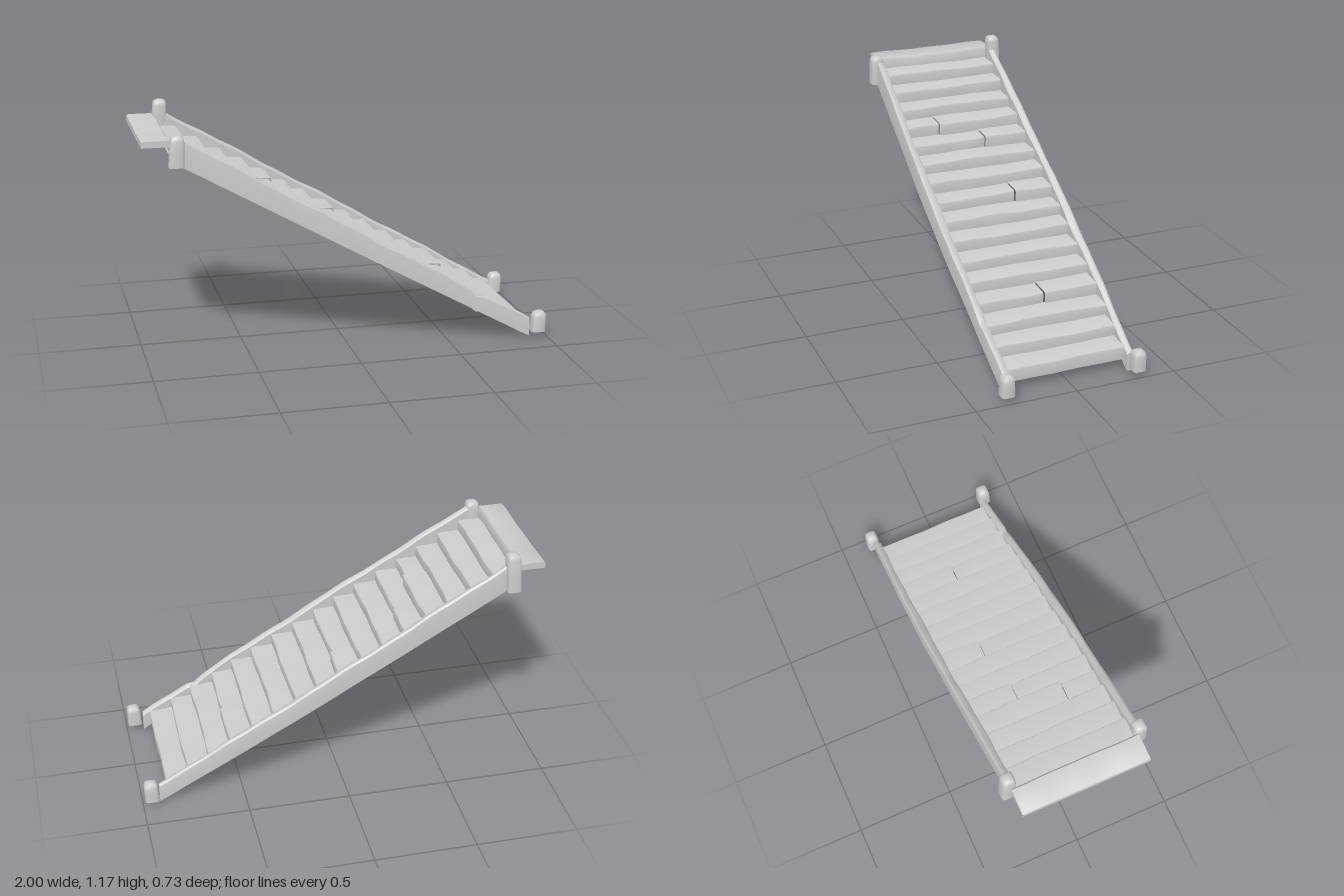
import * as THREE from 'three';
import { toCreasedNormals } from 'three/addons/utils/BufferGeometryUtils.js';

const material = new THREE.MeshStandardMaterial({ color: 0xcccccc, side: THREE.DoubleSide });

// Skins a row of equal-length cross-sections, each a list of [x, y, z]
function loft(name, sections, crease = 0.7) {
  const n = sections[0].length, index = [];
  for (let i = 0; i < sections.length - 1; i++) {
    for (let j = 0; j < n - 1; j++) {
      const a = i * n + j, b = a + 1, d = a + n, c = d + 1;
      index.push(a, b, d, b, c, d);
    }
  }
  const geometry = new THREE.BufferGeometry();
  geometry.setAttribute('position', new THREE.Float32BufferAttribute(sections.flat(2), 3));
  geometry.setIndex(index);
  const mesh = new THREE.Mesh(toCreasedNormals(geometry, crease), material);
  mesh.name = name;
  return mesh;
}

// Smooth, repeatable unevenness of hand-cut wood
const wobble = (t, seed) => 0.6 * Math.sin(t * 11 + seed * 2.3) + 0.4 * Math.sin(t * 27 + seed * 4.1);

const STEPS = 16, RUN = 0.109, RISE = 0.0617;
const noseX = i => 0.88 - RUN * i;
const noseY = i => 0.108 + RISE * i;

// One worn plank: riser, rounded nose and tread, across z0..z1
function plank(i, z0, z1, shift) {
  const sections = [];
  for (let k = 0; k <= 10; k++) {
    const z = z0 + (z1 - z0) * k / 10;
    const x = noseX(i) + shift + 0.004 * wobble(z, i);
    const y = noseY(i) + shift * 0.4 + 0.003 * wobble(z, i + 7);
    const bottom = i === 0 ? 0.04 : noseY(i - 1) - 0.002;
    sections.push([
      [x - 0.005, bottom, z], [x, y - 0.012, z], [x - 0.003, y - 0.003, z],
      [x - 0.012, y, z], [noseX(i + 1) - 0.012, y + 0.005, z],
    ]);
  }
  return loft('step', sections);
}

// Side board, open underneath, with a rounded worn top; side is +1 or -1 in z
function stringer(side) {
  const sections = [];
  const N = 44;
  for (let k = 0; k <= N; k++) {
    const t = k / N, x = 0.915 - 1.745 * t;
    const bow = 0.016 * Math.sin(Math.PI * t);
    const outer = 0.333 + bow + 0.002 * wobble(t, side);
    const inner = 0.298 + bow * 0.6 + 0.004 * wobble(t * 1.5, side + 3);
    const notch = side > 0 ? 0.02 * Math.exp(-(((x - 0.63) / 0.03) ** 2)) : 0;
    const top = 0.628 - 0.585 * x + 0.005 * wobble(t * 2, side + 5) - notch;
    const bottom = Math.max(0, 0.513 - 0.563 * x);
    const section = [
      [x, bottom, outer], [x, top - 0.03, outer], [x, top - 0.008, outer - 0.003],
      [x, top, outer - 0.012], [x, top - 0.002, inner + 0.01],
      [x, top - 0.012, inner], [x, top - 0.095, inner],
    ].map(([px, py, pz]) => [px, py, pz * side]);
    // End cap at the foot of the stair
    if (k === 0) sections.push(section.map(([px, py]) => [px, py, outer * side]));
    sections.push(section);
  }
  if (side < 0) sections.reverse();
  return loft('stringer', sections);
}

// Stubby squared post with a domed top, leaning from bottom to top centre
function post(name, [x0, y0, z0], [x1, y1, z1], halfX, halfZ) {
  const h = y1 - y0, dome = 0.03;
  const rings = [[0, 1], [0.5 * (1 - dome / h), 0.97], [1 - dome / h, 0.94], [1 - 0.012 / h, 0.83], [1 - 0.003 / h, 0.55], [1, 0]];
  const sections = [];
  for (let k = 0; k <= 16; k++) {
    const a = k % 16 / 16 * Math.PI * 2;
    const squared = v => Math.sign(v) * Math.pow(Math.abs(v), 0.45);
    const cx = squared(Math.abs(Math.cos(a)) < 1e-9 ? 0 : Math.cos(a));
    const cz = squared(Math.abs(Math.sin(a)) < 1e-9 ? 0 : Math.sin(a));
    sections.push(rings.map(([t, s]) => [
      x0 + (x1 - x0) * t + cx * halfX * s, y0 + h * t, z0 + (z1 - z0) * t + cz * halfZ * s,
    ]));
  }
  return loft(name, sections, 0.9);
}

// Landing board: shell of top and four rims, open underneath
function landing() {
  const group = new THREE.Group();
  group.name = 'landing';
  const sections = [], N = 14;
  for (let k = 0; k <= N; k++) {
    const z = -0.325 + 0.635 * k / N;
    const y = 1.096 + 0.003 * wobble(z, 2), front = noseX(STEPS) + 0.003 * wobble(z, 9);
    const section = [
      [front - 0.003, noseY(STEPS - 1) - 0.002, z], [front, y - 0.012, z], [front - 0.008, y, z],
      [-0.99, y, z], [-0.998, y - 0.006, z], [-1, 1.066, z],
    ];
    const rim = section.map(([x, , pz]) => [x, 1.066, pz]);
    if (k === 0) sections.push(rim);
    sections.push(section);
    if (k === N) sections.push(rim);
  }
  group.add(loft('landingBoard', sections));
  return group;
}

export function createModel() {
  const model = new THREE.Group();
  model.name = 'staircase';

  // Steps, some of them cracked into two planks: step index -> z of the crack
  const cracks = { 3: -0.03, 8: -0.11, 11: -0.08, 12: 0.13 };
  const steps = new THREE.Group();
  steps.name = 'steps';
  for (let i = 0; i < STEPS; i++) {
    if (i in cracks) {
      steps.add(plank(i, -0.31, cracks[i] - 0.002, 0.006));
      steps.add(plank(i, cracks[i] + 0.002, 0.31, -0.005));
    } else {
      steps.add(plank(i, -0.31, 0.31, 0));
    }
  }
  model.add(steps, landing(), stringer(1), stringer(-1));

  // Posts at the four corners
  model.add(
    post('upperPostFront', [-0.842, 0.975, 0.328], [-0.836, 1.125, 0.328], 0.036, 0.034),
    post('upperPostBack', [-0.842, 0.97, -0.334], [-0.832, 1.167, -0.325], 0.036, 0.034),
    post('lowerPostFront', [0.957, 0.025, 0.333], [0.963, 0.13, 0.333], 0.036, 0.033),
    post('lowerPostBack', [0.953, 0.02, -0.332], [0.959, 0.125, -0.332], 0.036, 0.033),
  );
  return model;
}
